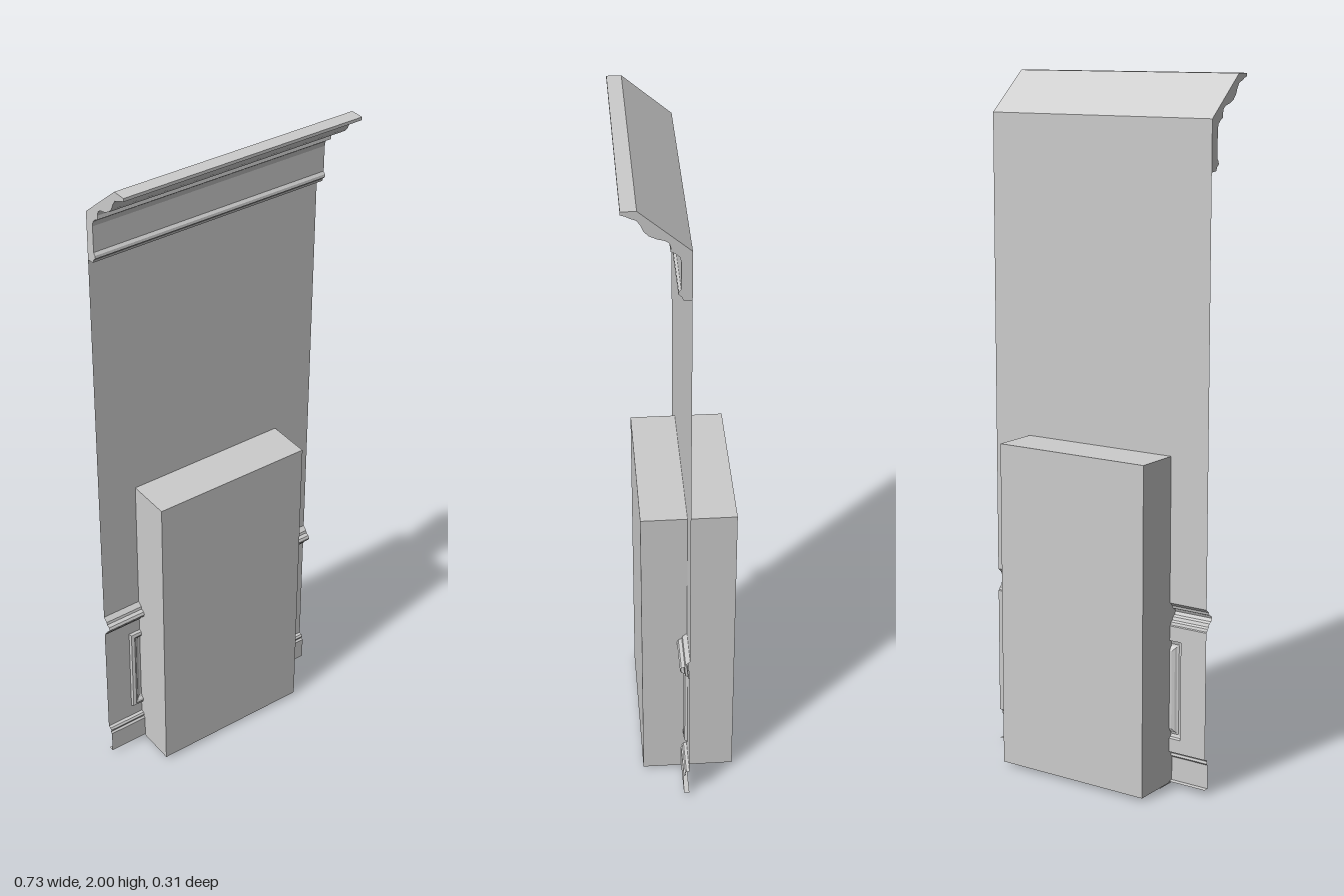
import * as THREE from 'three';

const HALF = 0.363;      // half width of the wall
const WALL_Z = -0.017;   // plane of the wall sheet

const solid = new THREE.MeshStandardMaterial({ color: 0xcccccc });
const sheet = new THREE.MeshStandardMaterial({ color: 0xcccccc, side: THREE.DoubleSide });

function part(name, geometry, material) {
  const mesh = new THREE.Mesh(geometry, material);
  mesh.name = name;
  return mesh;
}

// Surface through a grid of points: at(column, row) gives [x, y, z]
function gridSurface(columns, rows, at) {
  const geometry = new THREE.PlaneGeometry(1, 1, columns - 1, rows - 1);
  const pos = geometry.attributes.position;
  for (let r = 0; r < rows; r++) {
    for (let c = 0; c < columns; c++) pos.setXYZ(r * columns + c, ...at(c, r));
  }
  const flat = geometry.toNonIndexed();
  flat.computeVertexNormals();
  return flat;
}

// Thin strip following a [z, y] profile from top to bottom, across the wall
function strip(profile) {
  return gridSurface(2, profile.length, (c, r) => [c ? HALF : -HALF, profile[r][1], profile[r][0]]);
}

// Rectangular moulding from [inset, z] steps, mitred at the corners
function mitredFrame(halfWidth, bottom, top, steps) {
  const corners = [[-1, 0], [1, 0], [1, 1], [-1, 1], [-1, 0]];
  return gridSurface(5, steps.length, (c, r) => {
    const [inset, z] = steps[r];
    const [sx, up] = corners[c];
    return [sx * (halfWidth - inset), up ? top - inset : bottom + inset, z];
  });
}

function rectanglePath(path, halfWidth, bottom, top) {
  path.moveTo(-halfWidth, bottom).lineTo(halfWidth, bottom);
  path.lineTo(halfWidth, top).lineTo(-halfWidth, top).closePath();
  return path;
}

export function createModel() {
  const model = new THREE.Group();
  model.name = 'wallSection';

  // Upper wall sheet
  model.add(part('upperWall', strip([[WALL_Z, 1.885], [WALL_Z, 0.545]]), sheet));

  // Chair rail
  model.add(part('chairRail', strip([
    [WALL_Z, 0.545], [-0.004, 0.534], [-0.002, 0.526], [0.008, 0.522], [0.012, 0.514],
    [0.008, 0.505], [-0.001, 0.501], [-0.004, 0.492], [-0.011, 0.488], [-0.013, 0.48], [WALL_Z, 0.478],
  ]), sheet));

  // Lower wall sheet, open where the panel moulding sits
  const panel = { half: 0.28, bottom: 0.145, top: 0.435, width: 0.03 };
  const wainscot = rectanglePath(new THREE.Shape(), HALF, 0.105, 0.478);
  wainscot.holes.push(rectanglePath(new THREE.Path(), panel.half, panel.bottom, panel.top));
  const wainscotGeometry = new THREE.ShapeGeometry(wainscot);
  wainscotGeometry.translate(0, 0, WALL_Z);
  model.add(part('wainscot', wainscotGeometry, sheet));

  // Panel moulding and its field
  model.add(part('panelMoulding', mitredFrame(panel.half, panel.bottom, panel.top, [
    [0, WALL_Z], [0.003, -0.009], [0.012, -0.006], [0.018, -0.008], [0.022, -0.013], [panel.width, WALL_Z],
  ]), sheet));
  const field = new THREE.PlaneGeometry(2 * (panel.half - panel.width), panel.top - panel.bottom - 2 * panel.width);
  field.translate(0, (panel.top + panel.bottom) / 2, WALL_Z);
  model.add(part('panelField', field, sheet));

  // Baseboard
  model.add(part('baseboard', strip([
    [WALL_Z, 0.105], [-0.008, 0.103], [-0.004, 0.097], [-0.006, 0.09],
    [-0.001, 0.085], [-0.001, 0.015], [WALL_Z, 0.015],
  ]), sheet));

  // Crown moulding: closed profile in [z, y], extruded across the wall
  const crownProfile = [
    [-0.017, 1.885], [0.117, 2], [0.157, 2], [0.157, 1.991], [0.145, 1.987], [0.132, 1.98],
    [0.118, 1.975], [0.108, 1.96], [0.102, 1.945], [0.09, 1.932], [0.07, 1.922],
    [0.05, 1.917], [0.04, 1.91], [0.036, 1.897], [0.037, 1.886], [0.025, 1.88],
    [0.014, 1.87], [0.011, 1.855], [0.011, 1.78], [0.017, 1.773], [0.018, 1.765],
    [0.009, 1.757], [0.006, 1.748], [-0.017, 1.745],
  ];
  const crownShape = new THREE.Shape(crownProfile.map(([z, y]) => new THREE.Vector2(-z, y)));
  const crown = new THREE.ExtrudeGeometry(crownShape, { depth: 2 * HALF, bevelEnabled: false });
  crown.translate(0, 0, -HALF);
  crown.rotateY(Math.PI / 2);
  model.add(part('crownMoulding', crown, solid));

  // Large block passing through the wall
  const block = part('block', new THREE.BoxGeometry(0.486, 0.955, 0.268), solid);
  block.position.set(0, 0.4875, -0.021);
  model.add(block);

  // Thin plate under the block
  const plate = part('sillPlate', new THREE.BoxGeometry(0.466, 0.012, 0.065), solid);
  plate.position.set(0, 0.006, -0.012);
  model.add(plate);

  return model;
}
